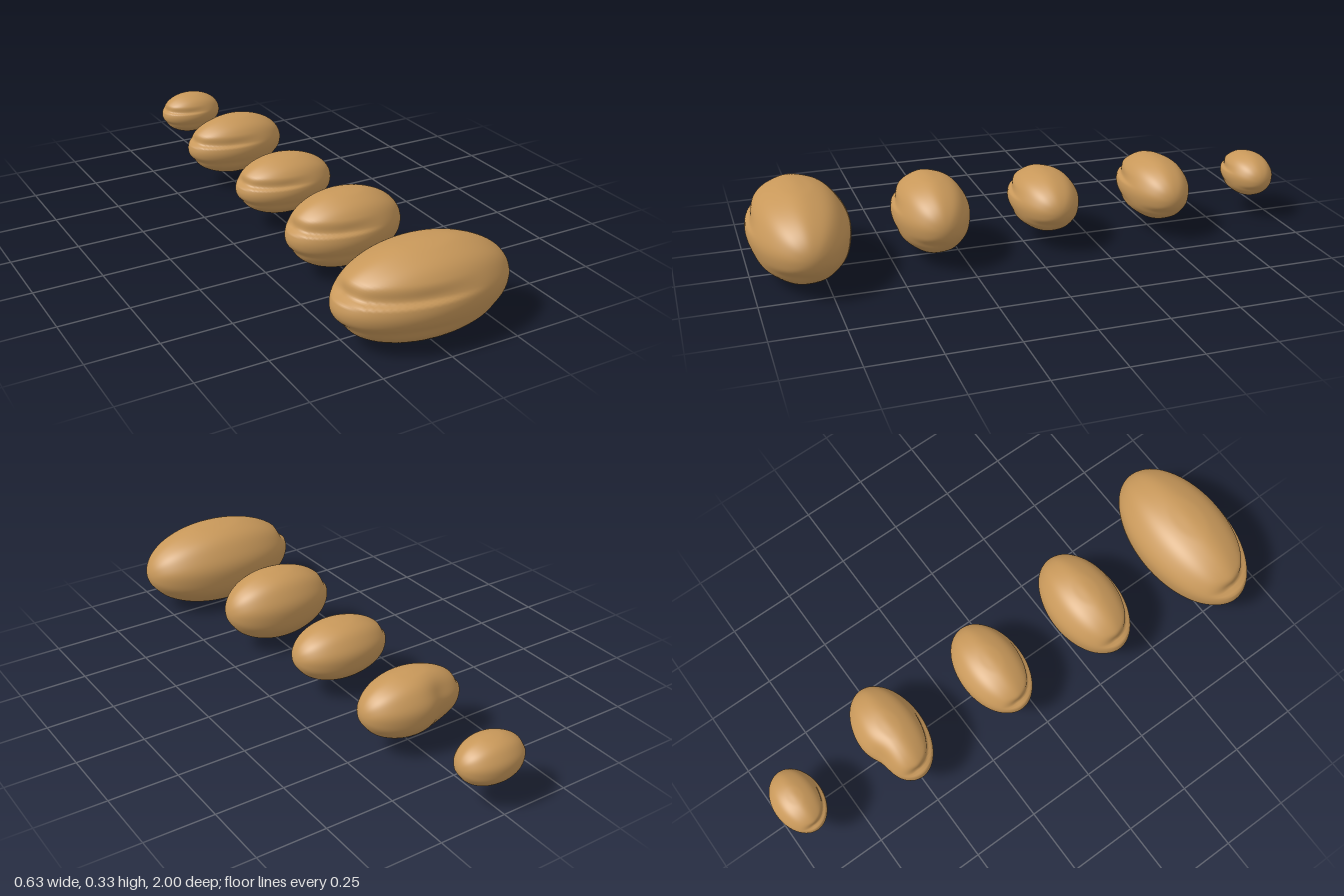
import * as THREE from 'three';
import { mergeVertices } from 'three/addons/utils/BufferGeometryUtils.js';

const bump = (v, centre, width) => Math.exp(-(((v - centre) / width) ** 2));
const step = THREE.MathUtils.smoothstep;

// Radius factor for a direction on the unit sphere: side grooves and shallow dents
function crustRadius(p) {
  const angle = Math.atan2(p.z, -p.x); // 0 at the -x end, PI/2 at the front
  const side = step(angle, -0.6, 0.0) * (1 - step(angle, 1.2, 2.1));
  // sharp lip below, soft fade above
  const groove = step(p.y, 0.18, 0.27) * (1 - step(p.y, 0.3, 0.56));
  let r = 1 - 0.075 * groove * side;
  r -= 0.03 * bump(p.y, -0.4, 0.13) * side;
  r += 0.012 * bump(p.y, -0.05, 0.2) * side;
  // crease low on the +x end
  r -= 0.025 * step(p.x, 0.4, 0.85) * bump(p.y, -0.42, 0.12) * step(p.z, -0.3, 0.3);
  // flattened crown and small dimple underneath
  r -= 0.012 * step(p.y, 0.94, 1);
  r -= 0.03 * bump(p.x, -0.02, 0.06) * bump(p.z, 0, 0.3) * step(-p.y, 0.7, 0.95);
  // gentle long ripples
  r += 0.006 * Math.sin(Math.atan2(p.y, p.z) * 9 + 0.6) * (1 - p.x * p.x);
  return r;
}

function loafGeometry(size, backDent) {
  let geo = new THREE.IcosahedronGeometry(1, 24);
  geo.deleteAttribute('normal');
  geo.deleteAttribute('uv');
  geo = mergeVertices(geo, 1e-4);
  const pos = geo.attributes.position;
  const p = new THREE.Vector3();
  for (let i = 0; i < pos.count; i++) {
    p.fromBufferAttribute(pos, i).normalize();
    let r = crustRadius(p);
    r -= backDent * bump(p.x, -0.45, 0.35) * step(-p.z, 0.2, 0.9);
    p.multiplyScalar(r);
    pos.setXYZ(i, p.x * size[0], p.y * size[1], p.z * size[2]);
  }
  geo.computeVertexNormals();
  return geo;
}

export function createModel() {
  const group = new THREE.Group();
  group.name = 'loafRow';
  const crust = new THREE.MeshStandardMaterial({ color: 0xc8985a });
  crust.name = 'crust';

  // half sizes, centre and back dent of each loaf, front to back
  const loaves = [
    { name: 'largestLoaf', size: [0.315, 0.164, 0.177], at: [0, 0.163, 0.82], dent: 0 },
    { name: 'largeLoaf', size: [0.216, 0.138, 0.135], at: [0, 0.167, 0.35], dent: 0 },
    { name: 'mediumLoaf', size: [0.188, 0.111, 0.122], at: [-0.002, 0.165, -0.077], dent: 0 },
    { name: 'lopsidedLoaf', size: [0.195, 0.117, 0.12], at: [0.01, 0.168, -0.51], dent: 0.16 },
    { name: 'smallLoaf', size: [0.125, 0.083, 0.089], at: [0, 0.167, -0.912], dent: 0 },
  ];
  for (const { name, size, at, dent } of loaves) {
    const loaf = new THREE.Mesh(loafGeometry(size, dent), crust);
    loaf.name = name;
    loaf.position.set(...at);
    group.add(loaf);
  }
  return group;
}
